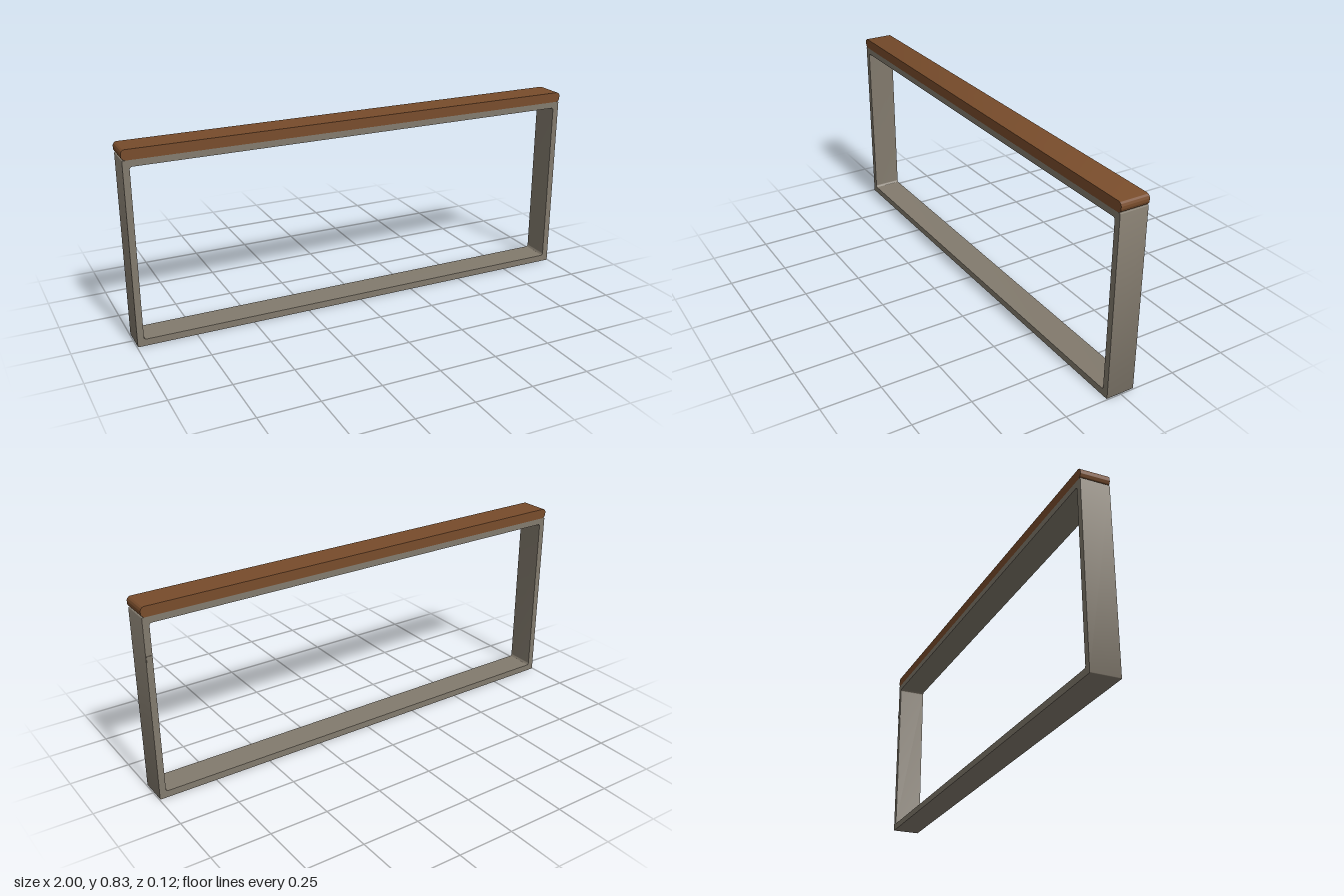
import * as THREE from 'three';
import { toCreasedNormals } from 'three/addons/utils/BufferGeometryUtils.js';

const BACK = -0.06, FRONT = 0.0625;

// Traces a rounded rectangle into a Shape or Path
function roundedRect(path, x0, y0, x1, y1, r) {
  path.moveTo(x0 + r, y0);
  path.lineTo(x1 - r, y0);
  path.absarc(x1 - r, y0 + r, r, -Math.PI / 2, 0, false);
  path.lineTo(x1, y1 - r);
  path.absarc(x1 - r, y1 - r, r, 0, Math.PI / 2, false);
  path.lineTo(x0 + r, y1);
  path.absarc(x0 + r, y1 - r, r, Math.PI / 2, Math.PI, false);
  path.lineTo(x0, y0 + r);
  path.absarc(x0 + r, y0 + r, r, Math.PI, Math.PI * 1.5, false);
  return path;
}

// Extrudes a front outline through the full depth
function extrudeDepth(shape) {
  const geo = new THREE.ExtrudeGeometry(shape, {
    depth: FRONT - BACK, bevelEnabled: false, curveSegments: 8,
  });
  geo.translate(0, 0, BACK);
  return toCreasedNormals(geo, 0.6);
}

export function createModel() {
  const metal = new THREE.MeshStandardMaterial({ color: 0x827a6d });
  metal.name = 'greyMetal';
  const wood = new THREE.MeshStandardMaterial({ color: 0x784c2b });
  wood.name = 'brownWood';

  const model = new THREE.Group();
  model.name = 'consoleTable';
  const add = (name, geometry, material) => {
    const mesh = new THREE.Mesh(geometry, material);
    mesh.name = name;
    model.add(mesh);
    return mesh;
  };

  // Rectangular loop frame with softly rounded inner corners
  const outline = roundedRect(new THREE.Shape(), -0.997, 0, 0.997, 0.784, 0.003);
  outline.holes.push(roundedRect(new THREE.Path(), -0.97, 0.029, 0.97, 0.757, 0.01));
  add('loopFrame', extrudeDepth(outline), metal);

  // Wooden top with rounded ends
  const board = roundedRect(new THREE.Shape(), -1, 0.784, 1, 0.827, 0.017);
  add('woodenTop', extrudeDepth(board), wood);

  // Small plate on the back of the left post
  const plate = add('backPlate', new THREE.BoxGeometry(0.02, 0.028, 0.004), metal);
  plate.position.set(0.985, 0.614, BACK - 0.0005);

  return model;
}
